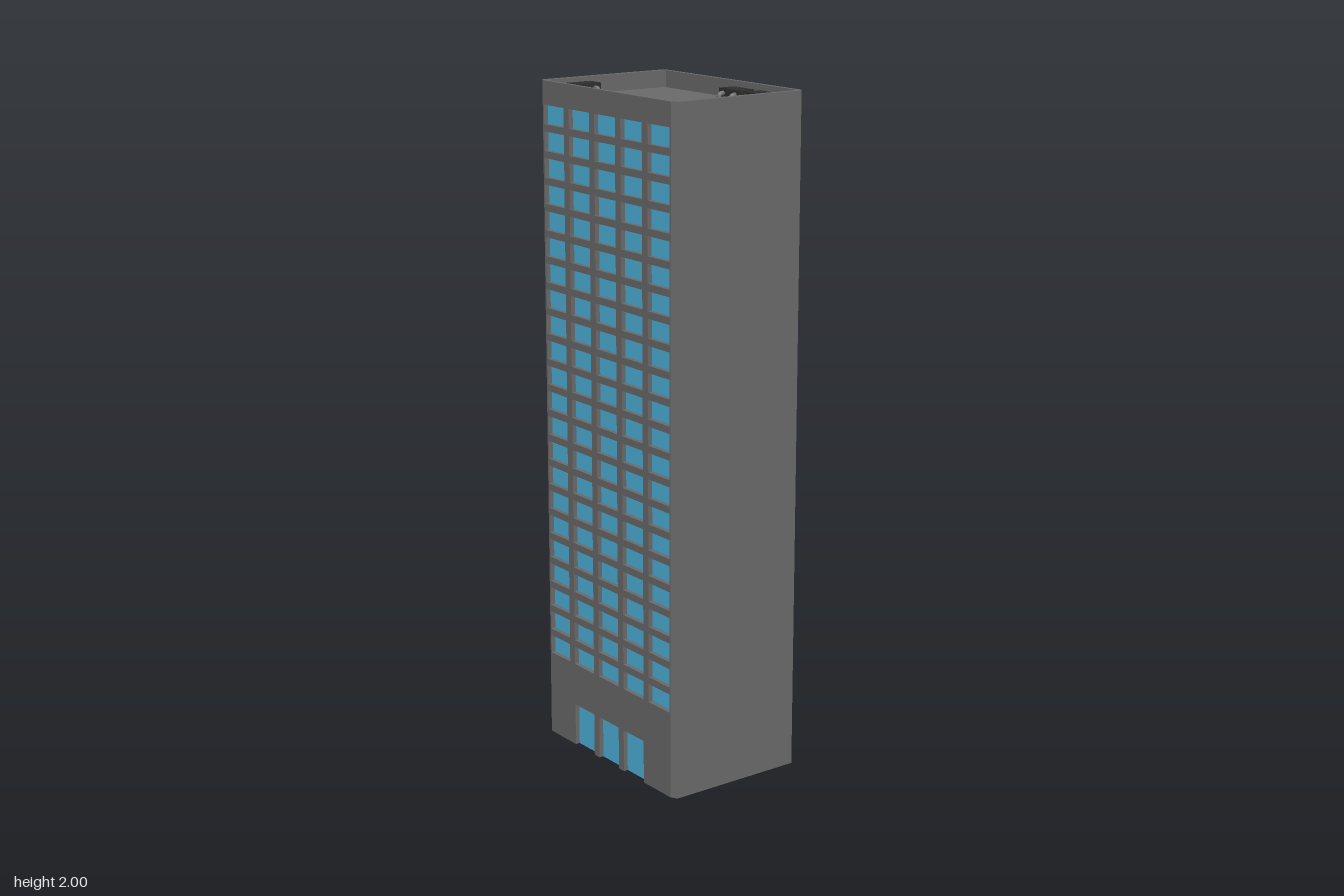
import * as THREE from 'three';
import { mergeGeometries } from 'three/addons/utils/BufferGeometryUtils.js';

const HX = 0.224, HZ = 0.325, CX = 0.012, CZ = 0.018; // half plan size and corner cuts
const TOP = 2, ROOF = 1.95;
const ROWS = 22, COLS = 5, ROW_PITCH = 0.0769, COL_PITCH = 0.1255, FIRST_ROW = 0.288;
const DOOR_H = 0.13, DEPTH = 0.014;

const material = (color) => new THREE.MeshStandardMaterial({ color, side: THREE.DoubleSide });
const concrete = material(0x6a6a6a);
const glass = material(0x4fb3dc);
const unitPaint = material(0x2e2e2e);
const pipeMetal = material(0x6f6f6f);

function add(parent, name, geometry, mat) {
  const mesh = new THREE.Mesh(geometry, mat);
  mesh.name = name;
  parent.add(mesh);
  return mesh;
}

// Flat quads joining two closed loops of points, leaving out one side if asked
function band(a, b, skip = -1) {
  const pos = [];
  a.forEach((p, i) => {
    if (i === skip) return;
    const j = (i + 1) % a.length;
    for (const q of [p, a[j], b[j], p, b[j], b[i]]) pos.push(...q);
  });
  const g = new THREE.BufferGeometry();
  g.setAttribute('position', new THREE.Float32BufferAttribute(pos, 3));
  g.computeVertexNormals();
  return g;
}

// Rectangle with cut corners at height y, counter-clockwise from the front left
function outline(hx, hz, cx, cz, y) {
  return [
    [-hx + cx, y, hz], [hx - cx, y, hz], [hx, y, hz - cz], [hx, y, -hz + cz],
    [hx - cx, y, -hz], [-hx + cx, y, -hz], [-hx, y, -hz + cz], [-hx, y, hz - cz],
  ];
}

// Corners of an opening in the -x wall
const opening = (o, x) => [
  [x, o.y - o.h / 2, o.z - o.w / 2], [x, o.y - o.h / 2, o.z + o.w / 2],
  [x, o.y + o.h / 2, o.z + o.w / 2], [x, o.y + o.h / 2, o.z - o.w / 2],
];

function windowGrid(w, h) {
  const list = [];
  for (let r = 0; r < ROWS; r++)
    for (let c = 0; c < COLS; c++)
      list.push({ z: (c - (COLS - 1) / 2) * COL_PITCH, y: FIRST_ROW + r * ROW_PITCH, w, h });
  return list;
}

// Glass panes at a given x, facing +x (side 1) or -x (side -1)
function panes(list, x, side) {
  return mergeGeometries(list.map((o) =>
    new THREE.PlaneGeometry(o.w, o.h).rotateY(side * Math.PI / 2).translate(x, o.y, o.z)));
}

// Wall with window holes and door notches
function piercedWall(windows, doors) {
  const f = HZ - CZ;
  const shape = new THREE.Shape().moveTo(-f, 0);
  for (const d of doors) {
    const l = d.z - d.w / 2, r = d.z + d.w / 2;
    shape.lineTo(l, 0).lineTo(l, DOOR_H).lineTo(r, DOOR_H).lineTo(r, 0);
  }
  shape.lineTo(f, 0).lineTo(f, TOP).lineTo(-f, TOP).closePath();
  for (const o of windows) {
    const l = o.z - o.w / 2, r = o.z + o.w / 2, b = o.y - o.h / 2, t = o.y + o.h / 2;
    shape.holes.push(new THREE.Path().moveTo(l, b).lineTo(l, t).lineTo(r, t).lineTo(r, b).closePath());
  }
  return new THREE.ShapeGeometry(shape).rotateY(-Math.PI / 2).translate(-HX, 0, 0);
}

// Rooftop machine with two pipes that bend down into the roof
function roofUnit(x, z, turn) {
  const unit = new THREE.Group();
  unit.name = 'roofUnit';
  add(unit, 'unitBox', new THREE.BoxGeometry(0.092, 0.04, 0.052).translate(0, 0.02, 0), unitPaint);
  for (const side of [-1, 1]) {
    const px = side * 0.027;
    const path = new THREE.CatmullRomCurve3([
      [px, 0.026, 0.02], [px, 0.026, 0.032], [px, 0.023, 0.039], [px, 0.015, 0.041], [px, 0, 0.041],
    ].map((p) => new THREE.Vector3(...p)));
    add(unit, 'unitPipe', new THREE.TubeGeometry(path, 16, 0.007, 12), pipeMetal);
  }
  unit.position.set(x, ROOF, z);
  unit.rotation.y = turn;
  return unit;
}

export function createModel() {
  const model = new THREE.Group();
  model.name = 'officeTower';

  // Shell, open below
  const outerTop = outline(HX, HZ, CX, CZ, TOP);
  const inner = (y) => outline(HX - 0.0125, HZ - 0.0175, 0.004, 0.007, y);
  add(model, 'walls', band(outline(HX, HZ, CX, CZ, 0), outerTop, 6), concrete);

  // Parapet and roof
  add(model, 'parapet', mergeGeometries([band(outerTop, inner(TOP)), band(inner(TOP), inner(ROOF))]), concrete);
  const roofShape = new THREE.Shape(inner(0).map(([x, , z]) => new THREE.Vector2(x, -z)));
  add(model, 'roof', new THREE.ShapeGeometry(roofShape).rotateX(-Math.PI / 2).translate(0, ROOF, 0), concrete);

  // Entrance side: recessed windows and three doors
  const recessed = windowGrid(0.1, 0.056);
  const doors = [-1, 0, 1].map((i) => ({ z: i * COL_PITCH, y: DOOR_H / 2, w: 0.1, h: DOOR_H }));
  add(model, 'entranceWall', piercedWall(recessed, doors), concrete);
  const reveal = (o, skip) => band(opening(o, -HX), opening(o, -HX + DEPTH), skip);
  add(model, 'windowReveals', mergeGeometries(recessed.map((o) => reveal(o, -1))), concrete);
  add(model, 'doorReveals', mergeGeometries(doors.map((o) => reveal(o, 0))), concrete);
  add(model, 'recessedWindows', panes(recessed, -HX + DEPTH, -1), glass);
  add(model, 'doors', panes(doors, -HX + DEPTH, -1), glass);

  // Opposite side: flush windows
  add(model, 'flushWindows', panes(windowGrid(0.109, 0.062), HX + 0.001, 1), glass);

  // Rooftop machines
  model.add(
    roofUnit(-0.119, -0.2575, 0),
    roofUnit(0.149, 0.116, -Math.PI / 2),
    roofUnit(0.149, 0.232, -Math.PI / 2),
  );
  return model;
}
